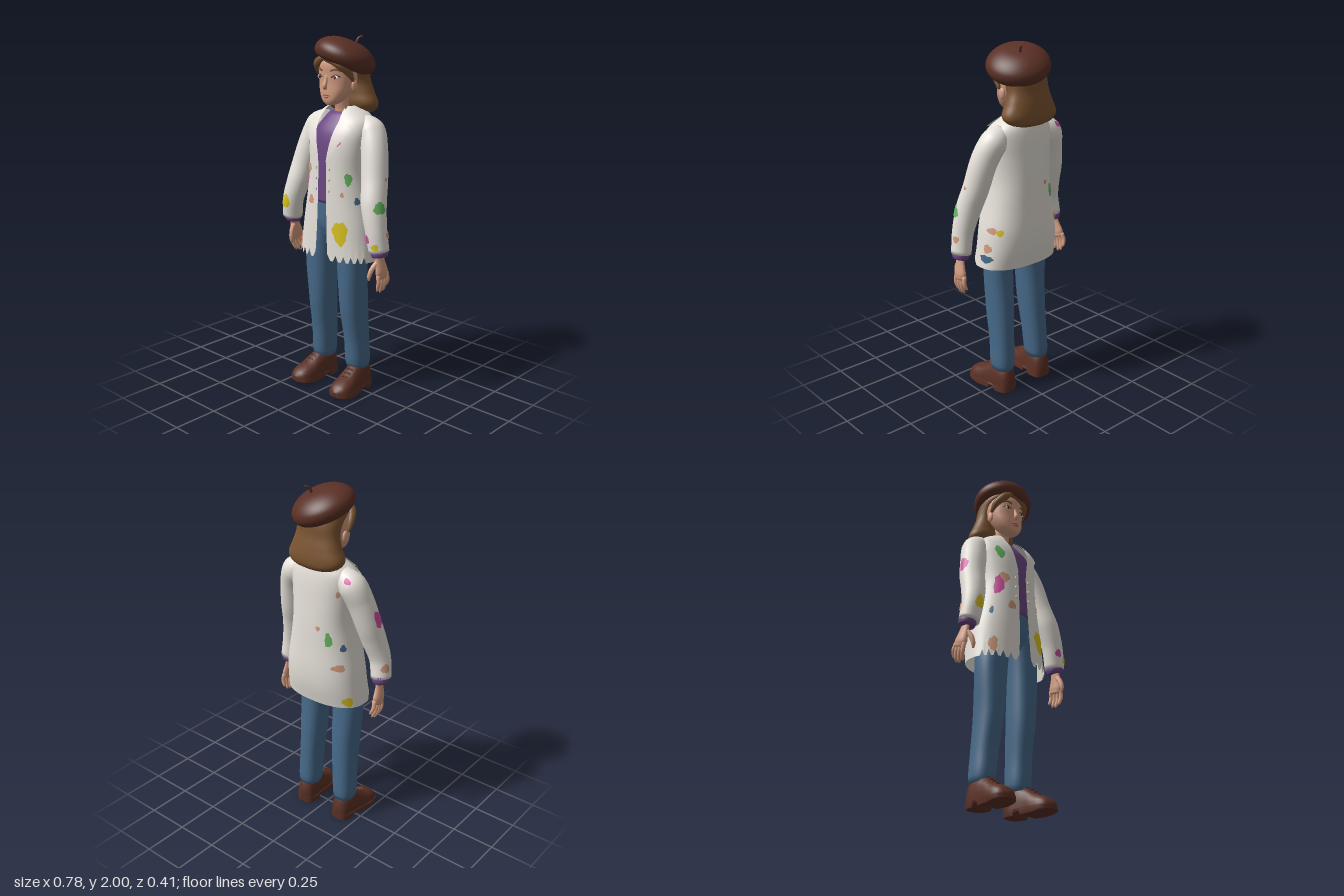
import * as THREE from 'three';
import { mergeVertices } from 'three/addons/utils/BufferGeometryUtils.js';

const paint = (name, color, side = THREE.FrontSide) => {
  const m = new THREE.MeshStandardMaterial({ color, side });
  m.name = name;
  return m;
};
const TAU = Math.PI * 2, V = (x, y, z) => new THREE.Vector3(x, y, z);
const sp = (s, e) => Math.sign(s) * Math.abs(s) ** e;

// Smooth surface from a function of u, v in 0..1
function grid(nu, nv, fn) {
  const pos = [], idx = [];
  for (let j = 0; j <= nv; j++) for (let i = 0; i <= nu; i++) pos.push(...fn(i / nu, j / nv).toArray());
  for (let j = 0; j < nv; j++) for (let i = 0; i < nu; i++) {
    const a = j * (nu + 1) + i, d = a + nu + 1;
    idx.push(a, a + 1, d + 1, a, d + 1, d);
  }
  let g = new THREE.BufferGeometry();
  g.setAttribute('position', new THREE.Float32BufferAttribute(pos, 3));
  g.setIndex(idx);
  g = mergeVertices(g, 1e-5);
  g.computeVertexNormals();
  return g;
}

// Rows are [position, ...values]; values are eased between rows
function rowAt(rows, p) {
  const n = rows.length, q = Math.min(Math.max(p, rows[0][0]), rows[n - 1][0]);
  let i = 0;
  while (i < n - 2 && q > rows[i + 1][0]) i++;
  const a = rows[i], b = rows[i + 1], h = b[0] - a[0], t = (q - a[0]) / h;
  const slope = (k, c) => {
    const l = rows[Math.max(k - 1, 0)], r = rows[Math.min(k + 1, n - 1)];
    return (r[c] - l[c]) / (r[0] - l[0]);
  };
  return a.map((v, c) => v * (1 + 2 * t) * (1 - t) ** 2 + h * slope(i, c) * t * (1 - t) ** 2
    + b[c] * t * t * (3 - 2 * t) + h * slope(i + 1, c) * t * t * (t - 1));
}

// Upright body: rows are [y, centre x, half width, front z, back z]
function bodyPoint(rows, y, th, e = 0.85) {
  const [, cx, hw, f, b] = rowAt(rows, y);
  return V(cx + hw * sp(Math.sin(th), e), y, (f + b) / 2 + (f - b) / 2 * sp(Math.cos(th), e));
}
function thetaAt(rows, x, y, e = 0.85) {
  const [, cx, hw] = rowAt(rows, y);
  return Math.asin(sp(Math.min(Math.max((x - cx) / hw, -1), 1), 1 / e));
}
const onFront = (rows, x, y, lift = 0) => V(x, y, bodyPoint(rows, y, thetaAt(rows, x, y)).z + lift);
function body(rows, nv = 28) {
  const y0 = rows[0][0], y1 = rows[rows.length - 1][0];
  return grid(40, nv + 2, (u, v) => {
    const j = Math.round(v * (nv + 2)) - 1, y = y0 + (y1 - y0) * Math.min(Math.max(j / nv, 0), 1);
    if (j >= 0 && j <= nv) return bodyPoint(rows, y, u * TAU);
    const r = rowAt(rows, y);
    return V(r[1], y, (r[3] + r[4]) / 2);
  });
}

// Tapered tube through points [x, y, z, radius]; flat squeezes it sideways
function limbPoint(pts, t, a, flat = 1, k = 1) {
  const c = pts.curve ??= new THREE.CatmullRomCurve3(pts.map(p => V(p[0], p[1], p[2])));
  const T = c.getTangent(t), A = V(0, 0, 1).addScaledVector(T, -T.z).normalize(), B = T.clone().cross(A);
  const s = t * (pts.length - 1), i = Math.min(Math.floor(s), pts.length - 2);
  const r = k * THREE.MathUtils.lerp(pts[i][3], pts[i + 1][3], s - i);
  return c.getPoint(t).addScaledVector(A, r * Math.cos(a)).addScaledVector(B, r * flat * Math.sin(a));
}
const limb = (pts, nu = 10, nv = 10, flat = 1) => grid(nu, nv + 2, (u, v) => {
  const j = Math.round(v * (nv + 2)) - 1;
  return limbPoint(pts, Math.min(Math.max(j / nv, 0), 1), u * TAU, flat, j < 0 || j > nv ? 0 : 1);
});

// Ragged blot lying just above a surface
function blot(fn, u0, v0, ru, rv, seed) {
  const g = grid(5, 22, (r, f) => {
    const a = f * TAU, k = r * (1 + 0.12 * Math.sin(3 * a + seed) + 0.08 * Math.sin(7 * a + 2 * seed));
    return fn(u0 + ru * k * Math.cos(a), v0 + rv * k * Math.sin(a));
  });
  const p = g.attributes.position, n = g.attributes.normal, h = 0.004 + (seed % 5) * 0.0005;
  for (let i = 0; i < p.count; i++) p.setXYZ(i, p.getX(i) + n.getX(i) * h, p.getY(i) + n.getY(i) * h, p.getZ(i) + n.getZ(i) * h);
  return g;
}

export function createModel() {
  const root = new THREE.Group();
  const skin = paint('skin', 0xd39c80), white = paint('coat cloth', 0xe6e1d9, THREE.DoubleSide), purple = paint('shirt purple', 0x6c4783),
    denim = paint('denim blue', 0x476a8a), leather = paint('dark brown', 0x5a3025), hairMat = paint('hair brown', 0x7b5431),
    green = paint('green paint', 0x66b560), pink = paint('pink paint', 0xd04f9f), yellow = paint('yellow paint', 0xdcc522), lip = paint('lip', 0xb9705f);
  const add = (name, geo, mat, parent = root) => {
    const m = new THREE.Mesh(geo, mat);
    m.name = name;
    parent.add(m);
    return m;
  };
  const ball = (name, mat, p, r, sx, sy, sz) => {
    const m = add(name, new THREE.SphereGeometry(r, 16, 12), mat);
    m.position.copy(p);
    m.scale.set(sx, sy, sz);
  };

  // Trousers
  add('hips', body([[0.9, -0.015, 0.14, 0.08, -0.1], [0.97, -0.01, 0.18, 0.105, -0.13], [1.06, -0.005, 0.17, 0.11, -0.14], [1.13, -0.005, 0.155, 0.108, -0.14]]), denim);
  add('leftLeg', body([[0.13, 0.112, 0.058, 0.035, -0.095], [0.17, 0.112, 0.064, 0.045, -0.1], [0.3, 0.11, 0.063, 0.055, -0.095], [0.5, 0.106, 0.07, 0.085, -0.085], [0.8, 0.103, 0.08, 0.1, -0.07], [1, 0.085, 0.085, 0.1, -0.1]]), denim);
  add('rightLeg', body([[0.13, -0.15, 0.058, 0.035, -0.095], [0.17, -0.15, 0.063, 0.045, -0.1], [0.3, -0.142, 0.066, 0.055, -0.095], [0.5, -0.133, 0.073, 0.085, -0.085], [0.8, -0.13, 0.088, 0.1, -0.07], [1, -0.1, 0.085, 0.1, -0.1]]), denim);

  // Shoes: rows are [z, half width, height]
  const last = [[-0.108, 0.022, 0.08], [-0.095, 0.045, 0.13], [-0.06, 0.058, 0.16], [-0.01, 0.06, 0.168], [0.04, 0.062, 0.145], [0.1, 0.068, 0.108], [0.15, 0.066, 0.088], [0.185, 0.05, 0.068], [0.203, 0.02, 0.045]];
  for (const [side, x, rot] of [['left', 0.122, 0.11], ['right', -0.158, -0.09]]) {
    const shoe = new THREE.Group();
    shoe.name = side + 'Shoe';
    shoe.position.x = x;
    shoe.rotation.y = rot;
    root.add(shoe);
    const shell = (yFn, wide) => grid(24, 32, (u, v) => {
      const n = Math.round(v * 32), z = -0.108 + 0.311 * Math.min(Math.max((n - 1) / 30, 0), 1), [, hw, h] = rowAt(last, z);
      const a = u * TAU, w = n === 0 || n === 32 ? 0 : hw * wide;
      return V(w * sp(Math.cos(a), 0.8), yFn(Math.sin(a), h, z), z);
    });
    add('shoeUpper', shell((s, h) => 0.02 + (h - 0.02) * Math.max(s, 0) ** 0.8, 1), leather, shoe);
    add('shoeSole', shell((s, h, z) => s > 0 ? 0.034 : z > -0.025 && z < 0.02 ? 0.022 : Math.max(0, z - 0.1) * 0.14, 1.07), leather, shoe);
    for (let i = 0; i < 4; i++) {
      const z = 0.03 + i * 0.024, h = rowAt(last, z)[2];
      add('lace', limb([[-0.035, h - 0.022, z, 0.005], [0, h + 0.002, z + 0.006, 0.005], [0.035, h - 0.022, z, 0.005]], 6, 8), leather, shoe);
    }
  }

  // Shirt and open coat
  add('shirt', body([[1.1, -0.005, 0.16, 0.115, -0.14], [1.28, -0.005, 0.155, 0.115, -0.15], [1.42, -0.005, 0.16, 0.108, -0.14], [1.5, -0.005, 0.15, 0.09, -0.13], [1.56, -0.008, 0.11, 0.05, -0.12], [1.595, -0.01, 0.075, 0.02, -0.1]]), purple);
  const coat = [[0.79, -0.006, 0.252, 0.15, -0.155], [0.9, -0.006, 0.24, 0.148, -0.178], [1, -0.005, 0.228, 0.145, -0.185], [1.15, -0.004, 0.2, 0.14, -0.18], [1.28, -0.003, 0.183, 0.136, -0.175], [1.42, -0.003, 0.19, 0.13, -0.165], [1.5, -0.004, 0.197, 0.11, -0.158], [1.56, -0.005, 0.185, 0.075, -0.148], [1.6, -0.008, 0.135, 0.045, -0.135], [1.63, -0.01, 0.085, 0.015, -0.11]];
  const opening = [[0.79, -0.05, 0.04], [1, -0.04, 0.03], [1.3, -0.038, 0.02], [1.38, -0.045, 0.028], [1.56, -0.092, 0.07], [1.63, -0.075, 0.055]];
  add('coat', grid(84, 44, (u, v) => {
    const y = 0.79 + 0.84 * v, [, l, r] = rowAt(opening, y);
    const t0 = thetaAt(coat, r, y), th = t0 + (TAU + thetaAt(coat, l, y) - t0) * u;
    const tear = Math.cos(th) > 0.2 && Math.round(u * 84) % 3 === 0 ? 0.035 * (1 - v) ** 14 : 0;
    const p = bodyPoint(coat, y, th);
    p.y += tear;
    return p;
  }), white);

  // Lapels, collar and buttons
  for (const s of [-1, 1]) {
    const flap = (a, b, c) => grid(12, 12, (u, v) => {
      const x = a[0] + (b[0] - a[0]) * v + (c[0] - b[0]) * u * v, y = a[1] + (b[1] - a[1]) * v + (c[1] - b[1]) * u * v;
      return onFront(coat, s * x - 0.01, y, 0.006 + 0.012 * u * v);
    });
    add('lapel', flap([0.03, 1.33], [0.078, 1.575], [0.165, 1.515]), white);
    add('collar', flap([0.075, 1.545], [0.062, 1.62], [0.16, 1.562]), white);
    for (let i = 0; i < 3; i++) {
      const b = add('button', new THREE.CylinderGeometry(0.009, 0.009, 0.008, 12), white);
      b.rotation.x = Math.PI / 2;
      b.position.copy(onFront(coat, s * 0.048 - 0.008, 1.18 + i * 0.06, 0.004));
    }
  }

  // Sleeves, cuffs and hands
  const arms = {
    left: [[0.12, 1.54, -0.05, 0.055], [0.18, 1.5, -0.05, 0.077], [0.225, 1.41, -0.025, 0.074], [0.26, 1.25, 0.01, 0.072], [0.285, 1.13, 0.045, 0.07], [0.315, 1, 0.06, 0.06], [0.334, 0.88, 0.055, 0.056]],
    right: [[-0.13, 1.545, -0.05, 0.055], [-0.2, 1.5, -0.05, 0.078], [-0.238, 1.41, -0.025, 0.074], [-0.272, 1.28, 0.005, 0.071], [-0.29, 1.18, 0.035, 0.068], [-0.315, 1.07, 0.058, 0.06], [-0.331, 0.965, 0.05, 0.057]],
  };
  for (const [side, s, x, y, z] of [['left', 1, 0.337, 0.87, 0.054], ['right', -1, -0.335, 0.955, 0.042]]) {
    add(side + 'Sleeve', limb(arms[side], 24, 36), white);
    add(side + 'Cuff', limb([[x - s * 0.002, y + 0.03, z, 0.047], [x, y, z, 0.049], [x + s * 0.003, y - 0.018, z, 0.043]], 20, 6), purple);
    const hand = new THREE.Group();
    hand.name = side + 'Hand';
    hand.position.set(x, y, z - (s < 0 ? 0.01 : 0));
    if (s < 0) hand.rotation.x = 0.18;
    root.add(hand);
    add('palm', limb([[0, 0, 0, 0.028], [s * 0.006, -0.045, 0, 0.033], [s * 0.012, -0.1, -0.005, 0.045], [s * 0.012, -0.135, -0.01, 0.038]], 14, 12, 0.5), skin, hand);
    for (let i = 0; i < 4; i++) {
      const fz = 0.024 - i * 0.022, len = [0.088, 0.1, 0.094, 0.07][i];
      add('finger', limb([[s * 0.013, -0.11, fz, 0.012], [s * 0.018, -0.12 - len * 0.45, fz * 1.15, 0.0115], [s * 0.008, -0.12 - len * 0.85, fz * 1.1 - 0.004, 0.01], [s * 0.002, -0.12 - len, fz * 1.1 - 0.006, 0.005]], 8, 8), skin, hand);
    }
    add('thumb', limb([[0, -0.045, 0.018, 0.015], [-s * 0.01, -0.08, 0.05, 0.014], [-s * 0.015, -0.115, 0.065, 0.012], [-s * 0.016, -0.14, 0.068, 0.006]], 8, 8), skin, hand);
  }

  // Paint blots on the coat: colour, x, y, half width, half height, on the back
  [[green, -0.14, 1.455, 0.036, 0.042], [skin, -0.125, 1.285, 0.038, 0.035], [pink, -0.15, 1.235, 0.038, 0.058], [skin, -0.09, 1.115, 0.024, 0.026], [denim, -0.19, 1.07, 0.014, 0.024],
    [skin, -0.2, 0.86, 0.028, 0.045], [yellow, 0.12, 0.955, 0.042, 0.065], [green, 0.142, 1.25, 0.027, 0.034], [pink, 0.085, 1.45, 0.022, 0.027], [denim, 0.18, 1.13, 0.02, 0.02], [skin, 0.12, 1.165, 0.012, 0.014],
    [skin, 0.215, 1.015, 0.035, 0.018, 1], [yellow, 0.195, 1.01, 0.025, 0.018, 1], [denim, 0.236, 0.85, 0.045, 0.022, 1], [skin, 0.23, 0.91, 0.03, 0.025, 1], [green, -0.125, 1.2, 0.024, 0.04, 1], [denim, -0.185, 1.15, 0.022, 0.02, 1],
    [skin, -0.18, 1.04, 0.045, 0.02, 1], [yellow, -0.22, 0.83, 0.035, 0.03, 1], [skin, -0.07, 1.26, 0.013, 0.014, 1], [skin, -0.16, 1.46, 0.018, 0.018, 1],
  ].forEach(([mat, x, y, w, h, back], i) => {
    const th = thetaAt(coat, x, y);
    add('coatPaint', blot((u, v) => bodyPoint(coat, v, u), back ? Math.PI - th : th, y, w / 0.2, h, i), mat);
  });
  // Sleeve blots: colour, arm, angle (0 front, positive towards -x), place along arm, sizes
  [[green, 'left', -1.2, 0.7, 0.5, 0.04], [pink, 'left', 0.35, 0.89, 0.3, 0.03], [yellow, 'left', -0.4, 0.95, 0.35, 0.025], [skin, 'left', -1.9, 0.88, 0.3, 0.025], [skin, 'left', -1.6, 0.5, 0.13, 0.012],
    [pink, 'right', 1.5, 0.46, 0.4, 0.055], [yellow, 'right', 0, 0.85, 0.45, 0.05], [skin, 'right', 2.1, 0.9, 0.4, 0.04], [pink, 'right', 2.5, 0.13, 0.2, 0.025],
  ].forEach(([mat, arm, a, t, ra, rt], i) => add('sleevePaint', blot((u, v) => limbPoint(arms[arm], v, u), a, t, ra, rt, i), mat));

  // Head, neck and face
  const head = [[1.636, -0.016, 0.025, 0.08, 0.03], [1.655, -0.016, 0.055, 0.09, -0.01], [1.7, -0.015, 0.086, 0.092, -0.05], [1.75, -0.015, 0.102, 0.09, -0.09], [1.8, -0.015, 0.108, 0.092, -0.12], [1.86, -0.013, 0.106, 0.092, -0.13], [1.91, -0.012, 0.085, 0.06, -0.11]];
  add('neck', limb([[-0.01, 1.54, -0.055, 0.062], [-0.012, 1.61, -0.045, 0.05], [-0.014, 1.7, -0.025, 0.05]], 20, 8), skin);
  add('head', body(head), skin);
  add('nose', limb([[-0.017, 1.795, 0.086, 0.008], [-0.018, 1.765, 0.094, 0.01], [-0.019, 1.737, 0.102, 0.014], [-0.019, 1.722, 0.094, 0.008]], 12, 12), skin);
  add('upperLip', limb([[-0.046, 1.687, 0.088, 0.002], [-0.017, 1.693, 0.096, 0.006], [0.012, 1.687, 0.088, 0.002]], 8, 10), lip);
  add('lowerLip', limb([[-0.04, 1.684, 0.088, 0.002], [-0.017, 1.68, 0.095, 0.007], [0.006, 1.684, 0.088, 0.002]], 8, 10), lip);
  for (const s of [-1, 1]) {
    const x = -0.015 + s * 0.056, at = (dx, y, lift) => onFront(head, x + s * dx, y, lift);
    ball('eyeWhite', white, at(0, 1.786, 0), 0.019, 1, 0.6, 0.3);
    ball('iris', leather, at(-0.001, 1.786, 0.004), 0.009, 1, 1, 0.35);
    const arc = (pts, r) => pts.map(([dx, y]) => [...at(dx, y, 0.002).toArray(), r]);
    add('eyelid', limb(arc([[-0.022, 1.786], [0, 1.799], [0.023, 1.789]], 0.003), 6, 10), leather);
    add('eyebrow', limb(arc([[-0.025, 1.82], [0.004, 1.829], [0.03, 1.82]], 0.005), 6, 10), hairMat);
    ball('ear', skin, V(-0.015 + s * 0.108, 1.74, -0.012), 0.03, 0.4, 1.05, 0.7);
    add('sideLock', limb([[-0.05, 1.89, 0.085, 0.015], [-0.015 + s * 0.075, 1.858, 0.075, 0.026], [-0.015 + s * 0.105, 1.815, 0.035, 0.022], [-0.015 + s * 0.115, 1.765, 0.004, 0.008]], 12, 14), hairMat);
  }

  // Hair
  add('hair', body([[1.578, -0.012, 0.08, -0.1, -0.16], [1.595, -0.012, 0.14, -0.06, -0.182], [1.635, -0.012, 0.172, -0.03, -0.19], [1.7, -0.012, 0.148, -0.03, -0.182], [1.76, -0.012, 0.128, -0.025, -0.17], [1.82, -0.01, 0.126, 0.01, -0.165], [1.87, -0.008, 0.124, 0.075, -0.15], [1.9, -0.005, 0.11, 0.08, -0.14]]), hairMat);

  // Beret
  const beret = new THREE.Group();
  beret.name = 'beret';
  beret.position.set(0.002, 1.889, -0.038);
  beret.rotation.set(-0.28, 0, -0.26);
  root.add(beret);
  const profile = [[0, -0.035], [0.11, -0.05], [0.135, -0.052], [0.161, -0.035], [0.172, -0.005], [0.162, 0.03], [0.125, 0.064], [0.07, 0.086], [0, 0.092]];
  add('beretCap', new THREE.LatheGeometry(new THREE.SplineCurve(profile.map(p => new THREE.Vector2(...p))).getPoints(36).map(p => p.set(Math.max(p.x, 0), p.y)), 40), leather, beret);
  add('beretStem', limb([[0.036, 1.962, -0.09, 0.007], [0.042, 1.985, -0.1, 0.007], [0.054, 1.996, -0.12, 0.006]], 8, 8), leather);
  return root;
}
